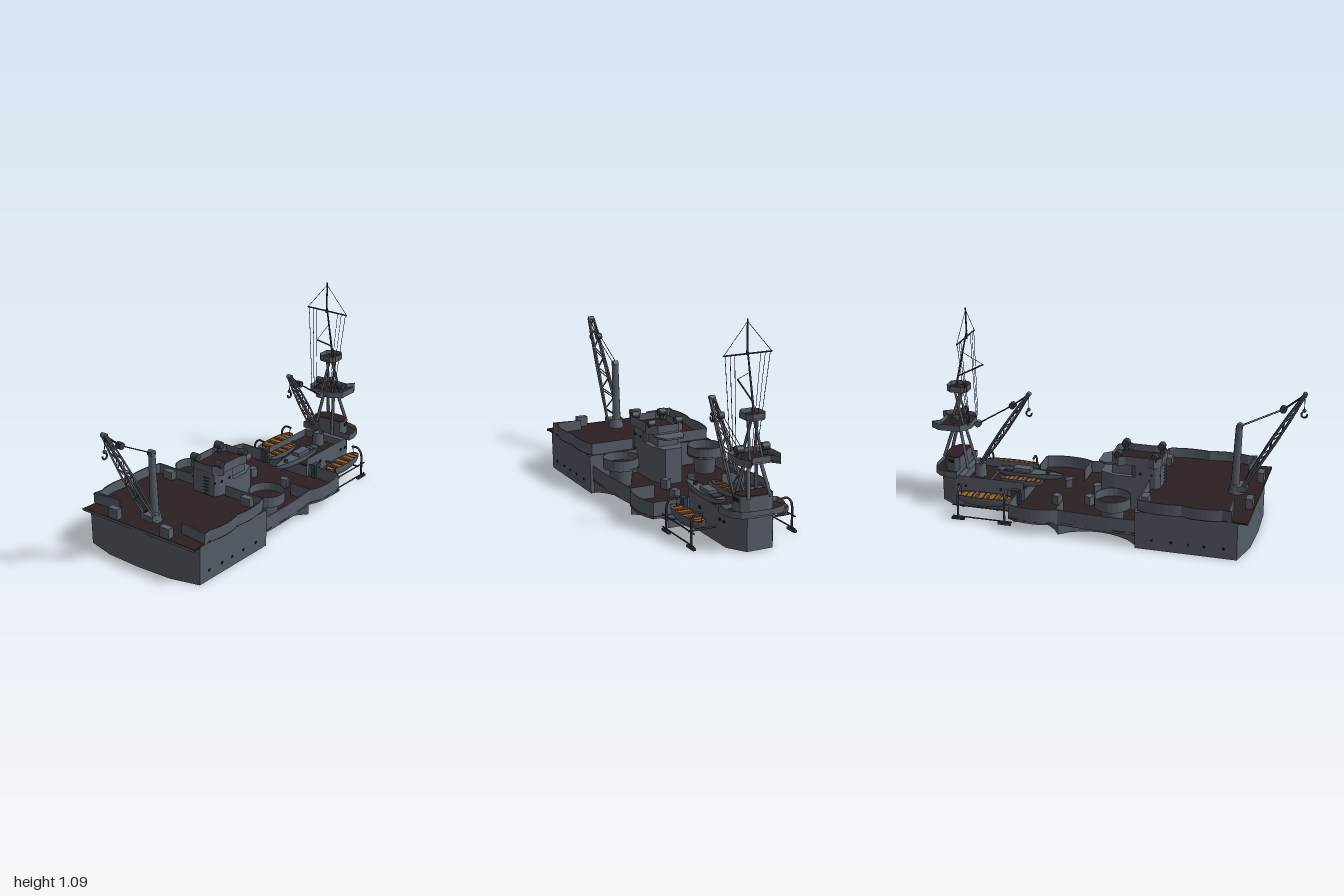
import * as THREE from 'three';

export function createModel() {
  const root = new THREE.Group();
  const paint = (name, color) => {
    const m = new THREE.MeshStandardMaterial({ color, side: THREE.DoubleSide });
    m.name = name;
    return m;
  };
  const grey = paint('hull grey', 0x555c66);
  const brown = paint('deck brown', 0x2b2021);
  const dark = paint('dark steel', 0x343a42);
  const black = paint('rope black', 0x15171a);
  const wood = paint('boat wood', 0x935f2b);

  const V = (x, y, z) => new THREE.Vector3(x, y, z);
  const add = (name, geo, mat, x = 0, y = 0, z = 0) => {
    const m = new THREE.Mesh(geo, mat);
    m.name = name;
    m.position.set(x, y, z);
    root.add(m);
    return m;
  };
  const box = (name, mat, w, h, d, x, y, z, ry = 0) => {
    const m = add(name, new THREE.BoxGeometry(w, h, d), mat, x, y, z);
    m.rotation.y = ry;
    return m;
  };
  const cyl = (name, mat, r0, r1, h, x, y, z, n = 16) =>
    add(name, new THREE.CylinderGeometry(r1, r0, h, n), mat, x, y, z);
  const bar = (name, mat, a, b, r, n = 6, r1 = r) => {
    const d = b.clone().sub(a), p = a.clone().add(b).multiplyScalar(0.5);
    const m = cyl(name, mat, r, r1, d.length(), p.x, p.y, p.z, n);
    m.quaternion.setFromUnitVectors(V(0, 1, 0), d.normalize());
    return m;
  };
  // outlines are [x, z] lists in plan
  const mirror = half => [...half, ...half.slice().reverse().map(([x, z]) => [-x, z])];
  const slab = (name, mat, pts, y0, y1) => {
    const s = new THREE.Shape(pts.map(([x, z]) => new THREE.Vector2(x, -z)));
    const g = new THREE.ExtrudeGeometry(s, { depth: y1 - y0, bevelEnabled: false });
    g.rotateX(-Math.PI / 2);
    return add(name, g, mat, 0, y0, 0);
  };
  // upright strip; with equal heights it becomes a flat rim, flare scaling x at the top
  const wall = (name, mat, pts, y0, y1, flare = 1) => {
    const pos = [];
    for (let i = 0; i < pts.length - 1; i++) {
      const [a, b] = pts[i], [c, d] = pts[i + 1];
      pos.push(a, y0, b, c, y0, d, c * flare, y1, d, a, y0, b, c * flare, y1, d, a * flare, y1, b);
    }
    const g = new THREE.BufferGeometry();
    g.setAttribute('position', new THREE.Float32BufferAttribute(pos, 3));
    g.computeVertexNormals();
    return add(name, g, mat);
  };
  const close = pts => [...pts, pts[0]];
  const tub = (name, pts, y0, y1) => {
    slab(name + 'Base', grey, pts, y0, y0 + 0.008);
    slab(name + 'Floor', brown, pts.map(([x, z]) => [x * 0.98, z]), y0 + 0.008, y0 + 0.011);
    wall(name + 'Wall', grey, close(pts), y0, y1);
  };
  const ring = (cx, cz, r, n = 24) =>
    Array.from({ length: n }, (_, i) => [cx + r * Math.cos(i / n * 6.2832), cz + r * Math.sin(i / n * 6.2832)]);
  // row of bulges between pinch points [x, z], each swelling by its third value
  const scallop = nodes => nodes.slice(0, -1).flatMap(([x, z, b], i) => {
    const [x1, z1] = nodes[i + 1];
    return Array.from({ length: 9 }, (_, k) => {
      const t = k / 8;
      return [x + (x1 - x) * t + b * Math.sin(Math.PI * t) ** 0.7, z + (z1 - z) * t];
    });
  });

  // upper deck block
  const upperSide = scallop([[0.362, 0.7, 0.002], [0.358, 0.65, 0.017], [0.358, 0.44, 0.016], [0.345, 0.21, 0]]);
  slab('upperDeck', brown, mirror([[0.368, 0.78], ...upperSide]), 0.205, 0.214);
  wall('upperHull', grey, mirror([[0, 0.778], [0.2, 0.77], [0.358, 0.73], [0.358, 0.2]]), 0, 0.207, 1.015);
  wall('deckLipFront', grey, [[-0.37, 0.781], [0.37, 0.781]], 0.202, 0.217);
  wall('upperBulkhead', grey, [[-0.355, 0.2], [0.355, 0.2]], 0.08, 0.21);
  for (let i = 0; i < 7; i++) bar('deckBeam', dark, V(-0.355, 0.16, 0.34 + i * 0.06), V(0.355, 0.16, 0.34 + i * 0.06), 0.011);

  // lower main deck
  const lowerSide = scallop([[0.345, 0.21, 0.008], [0.33, -0.22, 0.03], [0.33, -0.49, 0]]);
  const keelSide = scallop([[0.34, 0.2, -0.09], [0.325, -0.22, -0.08], [0.25, -0.49, 0]]).slice(0, 18);
  slab('mainDeck', brown, mirror([[0.34, 0.34], ...lowerSide]), 0.072, 0.08);
  for (const s of [1, -1]) {
    const flip = pts => pts.map(([x, z]) => [s * x, z]);
    const strip = lowerSide.slice(0, 18);
    const bulwark = flip([[0.205, 0.68], [0.366, 0.7], ...upperSide.slice(8, 27), [0.205, 0.21]]);
    slab('sponsonFloor', grey, flip([...keelSide, ...strip.slice().reverse()]), 0.064, 0.071);
    wall('mainSide', grey, flip([...strip, [0.33, -0.49], [0.12, -0.49]]), 0.064, 0.15);
    wall('mainSideRim', grey, flip(strip), 0.15, 0.15, 0.983);
    wall('keelSide', grey, flip([...keelSide, [0.13, -0.49]]), 0.005, 0.07);
    wall('upperBulwark', grey, bulwark, 0.21, 0.27, 1.005);
    wall('upperBulwarkRim', grey, bulwark, 0.27, 0.27, 0.984);
    box('forwardScreen', grey, 0.14, 0.056, 0.006, s * 0.275, 0.242, 0.68);
    box('houseScreen', grey, 0.24, 0.056, 0.006, s * 0.225, 0.242, 0.213);
    box('splinterScreen', grey, 0.135, 0.07, 0.006, s * 0.265, 0.115, -0.23);
    box('endScreen', grey, 0.13, 0.07, 0.006, s * 0.265, 0.115, -0.487);

    // lockers
    box('deckLocker', grey, 0.06, 0.055, 0.035, s * 0.17, 0.242, 0.755);
    box('screenLocker', grey, 0.06, 0.045, 0.035, s * 0.26, 0.237, 0.235);
    box('mainLocker', grey, 0.04, 0.05, 0.04, s * 0.11, 0.105, -0.29, s * 0.35);
    box('mainLocker', grey, 0.04, 0.05, 0.04, s * 0.075, 0.105, -0.12, s * 0.5);
    box('endLocker', dark, 0.025, 0.08, 0.05, s * 0.17, 0.12, -0.5);

    // round gun tubs
    cyl('tubPedestal', grey, 0.055, 0.065, 0.1, s * 0.25, 0.125, 0.055);
    tub('gunTub', ring(s * 0.25, 0.055, 0.095), 0.172, 0.23);
    add('gunTubRim', new THREE.RingGeometry(0.09, 0.096, 24).rotateX(-Math.PI / 2), grey, s * 0.25, 0.23, 0.055);

    // portholes
    for (const z of [0.66, 0.56, 0.48, 0.39, 0.29]) box('porthole', black, 0.006, 0.012, 0.012, s * 0.36, 0.055, z);
    for (const z of [-0.84, -0.8, -0.6]) box('porthole', black, 0.006, 0.014, 0.014, s * 0.131, 0.13, z);
  }

  // central control house
  slab('lowerHouse', grey, mirror([[0.085, 0.22], [0.085, 0.02], [0.05, -0.065]]), 0.08, 0.27);
  slab('upperHouse', grey, mirror([[0.07, 0.265], [0.085, 0.24], [0.085, 0.13], [0.07, 0.11]]), 0.21, 0.335);
  slab('houseCore', grey, mirror([[0.06, 0.12], [0.06, 0]]), 0.27, 0.335);
  const visor = slab('visor', grey, mirror([[0.05, -0.075], [0.08, -0.03], [0.08, 0.02]]), 0.325, 0.335);
  visor.rotation.x = -0.06;
  const controlPlan = mirror([[0.06, 0.27], [0.11, 0.235], [0.09, 0.2], [0.09, 0.08], [0.11, 0.045], [0.06, 0]]);
  tub('controlTub', controlPlan, 0.335, 0.385);
  wall('controlTubRim', grey, close(controlPlan), 0.385, 0.385, 0.94);
  const director = (x, y, z, r = 0.02) => {
    cyl('directorStand', dark, r * 0.6, r * 0.6, 0.04, x, y - 0.02, z, 8);
    const m = cyl('director', dark, r, r, r * 2, x, y, z, 10);
    m.rotation.z = Math.PI / 2;
  };
  for (const s of [1, -1]) {
    for (const z of [0.235, 0.04]) director(s * 0.08, 0.39, z);
    for (const z of [0.22, 0.16]) box('housePort', black, 0.006, 0.012, 0.012, s * 0.085, 0.29, z);
    box('housePort', black, 0.012, 0.012, 0.006, s * 0.07, 0.29, 0.262);
  }
  for (let i = 0; i < 6; i++) box('ladderRung', dark, 0.03, 0.004, 0.008, 0.02, 0.22 + i * 0.018, 0.268);

  // narrow hull, open below, and bridge
  wall('narrowHull', grey, mirror([[0.13, -0.47], [0.13, -0.86], [0.07, -0.955]]), 0.005, 0.185);
  slab('narrowDeck', brown, mirror([[0.128, -0.475], [0.128, -0.85], [0.068, -0.95]]), 0.136, 0.144);
  for (let i = 0; i < 4; i++) box('narrowBeam', grey, 0.255, 0.05, 0.012, 0, 0.11, -0.55 - i * 0.09);
  box('narrowBreak', grey, 0.25, 0.015, 0.006, 0, 0.15, -0.68);
  box('narrowEnd', grey, 0.26, 0.06, 0.006, 0, 0.11, -0.47);
  slab('bridgeBase', grey, mirror([[0.129, -0.81], [0.129, -0.86], [0.069, -0.954]]), 0.14, 0.185);
  const wing = mirror([[0.16, -0.84], [0.16, -0.89], [0.145, -0.94], [0.11, -0.975], [0.06, -0.99]]);
  tub('bridgeWing', wing, 0.18, 0.215);
  wall('bridgeWingRim', grey, close(wing), 0.215, 0.215, 0.96);
  slab('bridgeHouse', grey, mirror([[0.09, -0.845], [0.1, -0.87], [0.09, -0.92], [0.05, -0.945]]), 0.19, 0.27);
  slab('bridgeRoof', brown, mirror([[0.085, -0.85], [0.095, -0.87], [0.085, -0.915], [0.048, -0.94]]), 0.27, 0.273);
  for (const s of [1, -1]) box('bridgeWindow', black, 0.006, 0.018, 0.035, s * 0.096, 0.25, -0.892, s * 0.2);

  // tripod tower and mast
  for (const s of [1, -1]) {
    bar('towerLeg', grey, V(s * 0.06, 0.2, -0.81), V(s * 0.03, 0.435, -0.86), 0.009);
    bar('towerLeg', grey, V(s * 0.06, 0.26, -0.945), V(s * 0.03, 0.435, -0.89), 0.009);
    bar('upperLeg', grey, V(s * 0.035, 0.44, -0.835), V(s * 0.015, 0.64, -0.89), 0.007);
    bar('upperLeg', grey, V(s * 0.035, 0.44, -0.91), V(s * 0.015, 0.64, -0.85), 0.007);
    director(s * 0.07, 0.485, -0.87);
  }
  tub('towerPlatform', mirror([[0.045, -0.79], [0.11, -0.83], [0.11, -0.95], [0.08, -1], [0.05, -0.96]]), 0.43, 0.466);
  tub('lookout', mirror([[0.03, -0.81], [0.052, -0.835], [0.052, -0.9], [0.03, -0.925]]), 0.63, 0.664);
  const yard = V(0, 0.928, -0.818);
  bar('lowerMast', dark, V(0, 0.64, -0.885), V(0, 0.97, -0.81), 0.006, 8, 0.004);
  bar('topMast', dark, V(0, 0.92, -0.812), V(0, 1.092, -0.812), 0.005, 8, 0.004);
  bar('gaff', dark, V(0, 0.705, -0.875), V(0, 0.785, -0.725), 0.004);
  bar('gaffStay', black, V(0, 0.785, -0.725), V(0, 0.845, -0.842), 0.0015, 4);
  bar('yardArm', dark, V(-0.132, 0.928, -0.818), V(0.132, 0.928, -0.818), 0.004);
  for (const s of [1, -1]) {
    bar('topStay', black, V(0, 1.08, -0.812), V(s * 0.13, yard.y, yard.z), 0.0015, 4);
    for (const [a, b] of [[0.122, 0.075], [0.095, 0.06], [0.07, 0.045]])
      bar('halyard', black, V(s * a, yard.y, yard.z), V(s * b, 0.46, -0.795), 0.0015, 4);
  }

  // lattice cranes
  const crane = (foot, tip, sheave, anchor, w0, w1) => {
    const up = tip.clone().sub(foot).normalize().cross(V(1, 0, 0));
    const at = (t, i, j) => foot.clone().lerp(tip, t)
      .add(V(i * (w0 + (w1 - w0) * t), 0, 0)).addScaledVector(up, j * 0.013 * Math.sin(Math.PI * (0.08 + 0.84 * t)));
    for (const i of [1, -1]) for (const j of [1, -1])
      for (let k = 0; k < 4; k++) bar('boomChord', grey, at(k / 4, i, j), at((k + 1) / 4, i, j), 0.0055);
    for (let k = 0; k < 10; k++) {
      const a = k / 10, b = (k + 1) / 10, s = k % 2 ? 1 : -1;
      for (const j of [1, -1]) bar('boomLace', grey, at(a, s, j), at(b, -s, j), 0.003, 4);
      for (const i of [1, -1]) bar('boomLace', grey, at(a, i, s), at(b, i, -s), 0.003, 4);
    }
    const wheel = (p, r, mat) => {
      const m = cyl('sheave', mat, r, r, 0.03, p.x, p.y, p.z, 12);
      m.rotation.z = Math.PI / 2;
    };
    wheel(tip, 0.012, grey);
    wheel(sheave, 0.018, dark);
    wheel(anchor, 0.017, grey);
    for (const x of [-0.01, 0.01]) {
      bar('hoistCable', dark, tip.clone().setX(x), sheave.clone().setX(x), 0.003, 4);
      bar('hoistCable', black, sheave.clone().setX(x), anchor.clone().setX(x), 0.002, 4);
    }
    const h = tip.clone().add(V(0, -0.085, 0));
    bar('hookLine', black, tip, h, 0.002, 4);
    add('hookBlock', new THREE.SphereGeometry(0.01, 8, 6), dark, h.x, h.y, h.z);
    const hook = add('hook', new THREE.TorusGeometry(0.015, 0.005, 6, 12, 4.4), dark, h.x, h.y - 0.022, h.z);
    hook.rotation.set(0, Math.PI / 2, 0);
    hook.rotateZ(2.9);
  };
  crane(V(0, 0.255, 0.69), V(0, 0.783, 0.985), V(0, 0.695, 0.88), V(0, 0.58, 0.66), 0.038, 0.015);
  crane(V(0, 0.215, -0.755), V(0, 0.64, -0.475), V(0, 0.57, -0.565), V(0, 0.445, -0.765), 0.03, 0.012);
  bar('cranePost', grey, V(0, 0.21, 0.645), V(0, 0.58, 0.658), 0.024, 10, 0.018);
  cyl('cranePostBase', grey, 0.045, 0.035, 0.05, 0, 0.235, 0.655, 12);
  box('craneFoot', grey, 0.085, 0.03, 0.05, 0, 0.245, 0.685);
  cyl('rearCraneBase', grey, 0.035, 0.03, 0.08, 0, 0.18, -0.76, 12);

  // boats: a full-bodied half ellipsoid, planked inside, narrowing to the bow by `bow`
  const boat = (name, x, y, z, w, h, l, bow, planked) => {
    const shape = (g, flat) => {
      const p = g.attributes.position;
      for (let i = 0; i < p.count; i++) {
        const t = p.getZ(i);
        p.setX(i, Math.sign(p.getX(i)) * Math.abs(p.getX(i)) ** 0.65 * (1 - bow * Math.max(t, 0)));
        if (!flat) p.setY(i, -(Math.abs(p.getY(i)) ** 0.7));
      }
      g.scale(w, h, l);
      g.computeVertexNormals();
      return g;
    };
    const half = new THREE.SphereGeometry(1, 20, 8, 0, Math.PI * 2, Math.PI / 2, Math.PI / 2);
    add(name + 'Hull', shape(half, false), grey, x, y, z);
    const disc = shape(new THREE.CircleGeometry(0.98, 28).rotateX(-Math.PI / 2), true);
    add(name + 'Floor', disc, planked ? wood : grey, x, y - 0.006, z);
    if (!planked) return;
    for (let k = -4; k <= 4; k++)
      box(name + 'PlankGap', brown, w * 1.7 * Math.sqrt(1 - (k * 0.2) ** 2), 0.002, 0.004, x, y - 0.005, z + k * l * 0.2);
    for (let k = -1; k <= 1; k++)
      box(name + 'Seat', wood, w * 1.75, 0.005, 0.014, x, y - 0.002, z + (k * 0.4 + 0.1) * l);
  };
  boat('workBoat', -0.065, 0.18, -0.5, 0.031, 0.04, 0.125, 0, true);
  boat('launch', 0.045, 0.18, -0.49, 0.043, 0.045, 0.19, 0.45, false);
  box('launchCabin', grey, 0.05, 0.02, 0.1, 0.045, 0.187, -0.53);
  box('launchCockpit', dark, 0.05, 0.006, 0.05, 0.045, 0.18, -0.61);
  cyl('launchHatch', dark, 0.012, 0.012, 0.012, 0.045, 0.18, -0.39, 10);

  // slung lifeboats with their davit frames
  for (const s of [1, -1]) {
    boat('lifeboat', s * 0.23, 0.135, -0.66, 0.042, 0.06, 0.155, 0, true);
    for (const z of [-0.79, -0.53]) {
      const path = new THREE.CatmullRomCurve3([V(s * 0.28, 0, z), V(s * 0.28, 0.1, z), V(s * 0.275, 0.15, z),
        V(s * 0.25, 0.178, z), V(s * 0.215, 0.175, z)]);
      add('davit', new THREE.TubeGeometry(path, 16, 0.006, 6), dark);
      bar('davitFall', black, V(s * 0.22, 0.175, z), V(s * 0.225, 0.12, z), 0.002, 4);
      box('davitFoot', dark, 0.016, 0.012, 0.07, s * 0.28, 0.008, z);
    }
    for (const z of [-0.76, -0.57]) bar('boatBoom', dark, V(s * 0.12, 0.08, z), V(s * 0.28, 0.08, z), 0.005);
    for (const y of [0.085, 0.02]) bar('frameRail', dark, V(s * 0.28, y, -0.82), V(s * 0.28, y, -0.49), 0.004);
  }
  return root;
}
